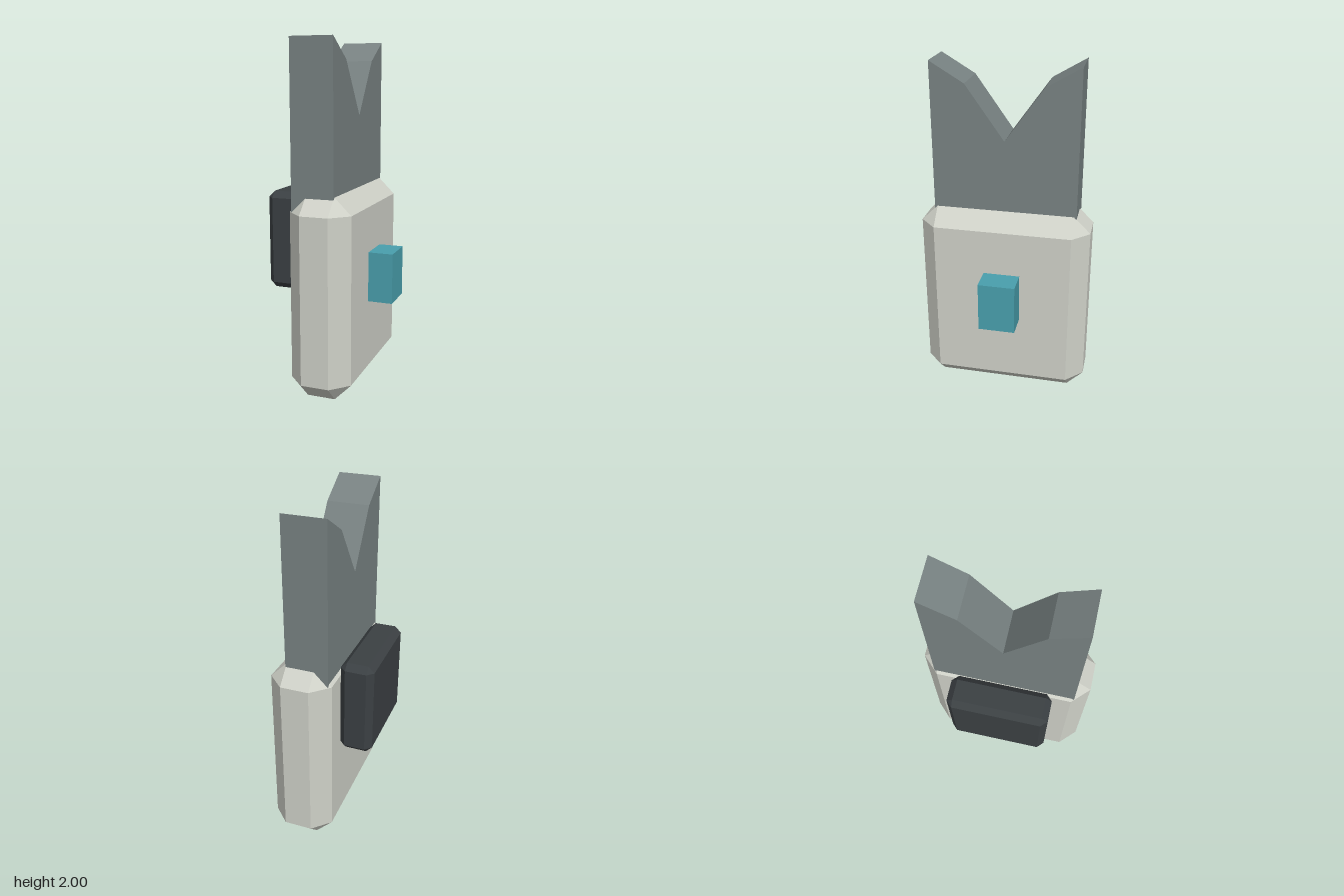
import * as THREE from 'three';
import { ConvexGeometry } from 'three/addons/geometries/ConvexGeometry.js';

function part(name, geometry, color) {
  const material = new THREE.MeshStandardMaterial({ color, flatShading: true });
  const mesh = new THREE.Mesh(geometry, material);
  mesh.name = name;
  return mesh;
}

// Box with every edge cut at 45 degrees and triangular corners
function chamferBox(w, h, d, c) {
  const points = [];
  for (const sx of [-1, 1]) for (const sy of [-1, 1]) for (const sz of [-1, 1]) {
    const [x, y, z] = [w / 2, h / 2, d / 2];
    points.push(
      new THREE.Vector3(sx * x, sy * (y - c), sz * (z - c)),
      new THREE.Vector3(sx * (x - c), sy * y, sz * (z - c)),
      new THREE.Vector3(sx * (x - c), sy * (y - c), sz * z)
    );
  }
  return new ConvexGeometry(points);
}

export function createModel() {
  const model = new THREE.Group();

  // Main casing
  const body = part('body', chamferBox(0.36, 1.16, 0.995, 0.098), 0xcfd1c8);
  body.position.set(0.025, 0.58, 0);
  model.add(body);

  // Notched plate rising out of the casing
  const outline = [
    [-0.415, 0.95], [0.415, 0.95], [0.415, 2], [0.22, 1.885],
    [0, 1.575], [-0.22, 1.885], [-0.415, 2]
  ];
  const shape = new THREE.Shape(outline.map(([z, y]) => new THREE.Vector2(z, y)));
  const plateGeometry = new THREE.ExtrudeGeometry(shape, { depth: 0.248, bevelEnabled: false });
  plateGeometry.rotateY(Math.PI / 2);
  const plate = part('notchedPlate', plateGeometry, 0x788282);
  plate.position.x = -0.139;
  model.add(plate);

  // Dark pack on the right flank
  const pack = part('sidePack', chamferBox(0.195, 0.57, 0.588, 0.036), 0x3b4043);
  pack.position.set(-0.2525, 0.865, -0.002);
  model.add(pack);

  // Coloured button on the left flank
  const button = part('sideButton', new THREE.BoxGeometry(0.17, 0.295, 0.213), 0x499fad);
  button.position.set(0.265, 0.6475, -0.001);
  model.add(button);

  return model;
}
